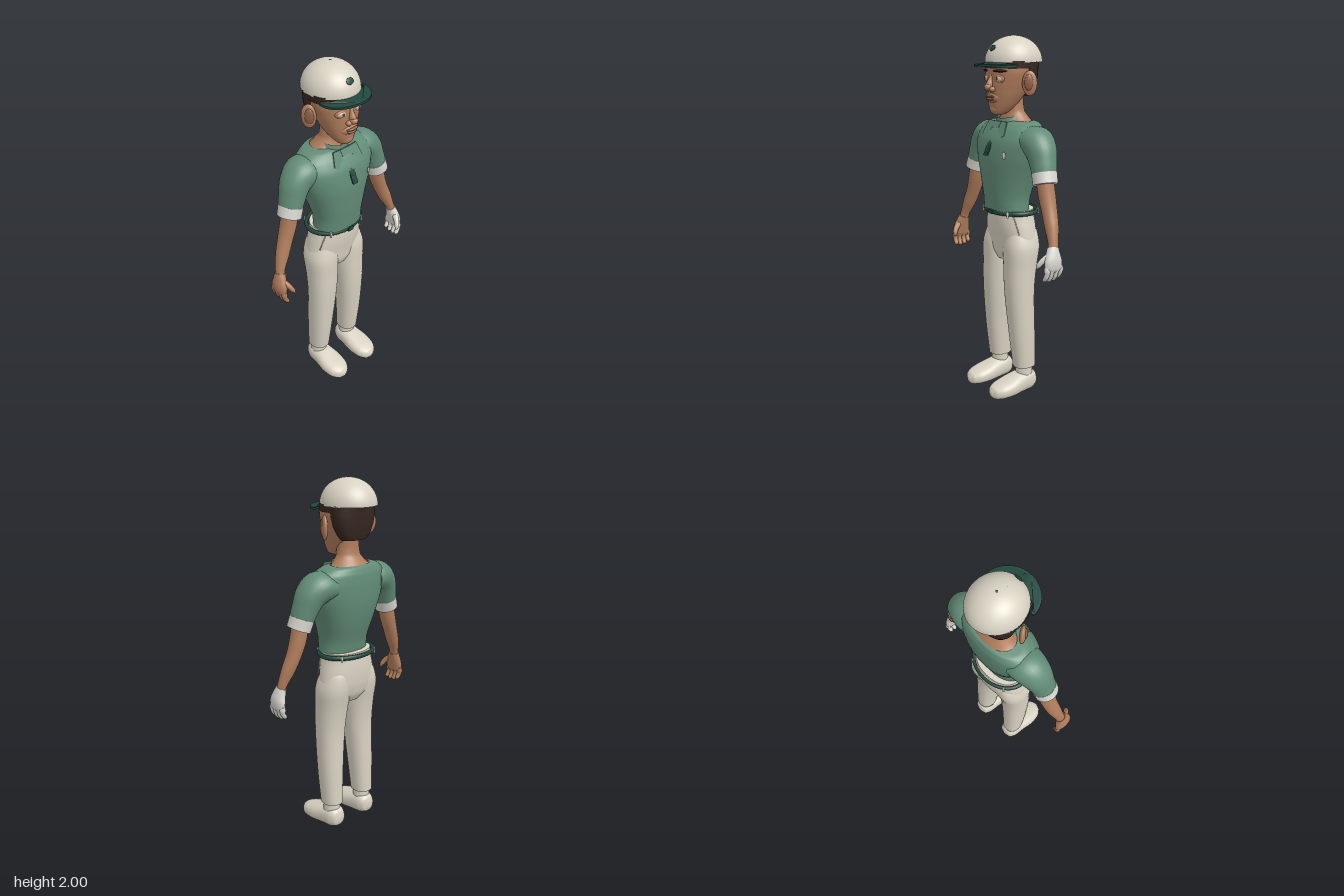
import * as THREE from 'three';

const V3 = (x, y, z) => new THREE.Vector3(x, y, z);
const X = V3(1, 0, 0), Y = V3(0, 1, 0), Z = V3(0, 0, 1);

const mat = (name, color, side = THREE.FrontSide) => {
  const m = new THREE.MeshStandardMaterial({ color, side });
  m.name = name;
  return m;
};

// Smooth skin through elliptical sections [x, y, z, halfWidth, halfDepth].
// axis fixes the section direction; otherwise sections follow the path.
function loft(pts, { axis = null, ref = Z, pow = 2, seg = 28, steps = 5, caps = true } = {}) {
  const path = new THREE.CatmullRomCurve3(pts.map(p => V3(p[0], p[1], p[2])));
  const size = new THREE.CatmullRomCurve3(pts.map(p => V3(p[3], p[4], 0)));
  const rows = (pts.length - 1) * steps, pos = [], idx = [];
  const sq = v => Math.sign(v) * Math.abs(v) ** (2 / pow);
  const ring = i => {
    const t = i / rows, c = path.getPoint(t), s = size.getPoint(t);
    const T = axis || path.getTangent(t);
    const U = T.clone().cross(ref).normalize(), W = T.clone().cross(U).normalize();
    for (let j = 0; j < seg; j++) {
      const a = j / seg * Math.PI * 2;
      const p = c.clone().addScaledVector(U, s.x * sq(Math.cos(a))).addScaledVector(W, s.y * sq(Math.sin(a)));
      pos.push(p.x, p.y, p.z);
    }
    return c;
  };
  for (let i = 0; i <= rows; i++) ring(i);
  for (let i = 0; i < rows; i++) for (let j = 0; j < seg; j++) {
    const k = (j + 1) % seg, a = i * seg, b = a + seg;
    idx.push(a + j, a + k, b + j, a + k, b + k, b + j);
  }
  if (caps) for (const i of [0, rows]) {
    const base = pos.length / 3, c = ring(i);
    pos.push(c.x, c.y, c.z);
    for (let j = 0; j < seg; j++) {
      const k = (j + 1) % seg;
      idx.push(base + seg, ...(i ? [base + j, base + k] : [base + k, base + j]));
    }
  }
  const g = new THREE.BufferGeometry();
  g.setAttribute('position', new THREE.Float32BufferAttribute(pos, 3));
  g.setIndex(idx);
  g.computeVertexNormals();
  return g;
}

const ball = (x, y, z, a, b, c, ry = 0, rx = 0) =>
  new THREE.SphereGeometry(1, 24, 16).scale(a, b, c).rotateX(rx).rotateY(ry).translate(x, y, z);

// Thin plate cut from an outline, then moved by a rule
function plate(points, depth, rule) {
  const g = new THREE.ExtrudeGeometry(new THREE.Shape(points.map(p => new THREE.Vector2(...p))),
    { depth, bevelEnabled: false });
  const p = g.attributes.position;
  for (let i = 0; i < p.count; i++) p.setXYZ(i, ...rule(p.getX(i), p.getY(i), p.getZ(i)));
  g.computeVertexNormals();
  return g;
}

export function createModel() {
  const skin = mat('skin', 0xb07d5c), lip = mat('lips', 0x92614a), hairM = mat('hair', 0x35261f);
  const green = mat('shirt green', 0x628c77, THREE.DoubleSide), dark = mat('dark green', 0x21483d, THREE.DoubleSide);
  const cream = mat('cream cloth', 0xd8d2c2), white = mat('glove and cuff white', 0xd9d6d0);
  const eyeM = mat('eye', 0xcbb5a0), iris = mat('iris', 0x4a3a30);
  const model = new THREE.Group();
  model.name = 'golfer';
  const add = (name, geo, m, parent = model) => {
    const o = new THREE.Mesh(geo, m);
    o.name = name;
    parent.add(o);
    return o;
  };

  // Shirt
  add('shirtBody', loft([
    [0, 1.045, .008, .148, .1], [0, 1.13, .006, .146, .113], [0, 1.25, -.006, .178, .135],
    [0, 1.36, -.014, .218, .145], [0, 1.45, -.022, .24, .138], [0, 1.51, -.036, .222, .119],
    [0, 1.545, -.047, .17, .095], [0, 1.552, -.05, .118, .078]],
    { axis: Y, pow: 2.25, seg: 40, caps: false }), green);
  const collar = add('collarBand', new THREE.CylinderGeometry(.074, .084, .026, 32, 1, true), green);
  collar.position.set(0, 1.568, -.022);
  collar.rotation.x = .2;
  const lean = (x, y, z) => [x, y, z + .062 + (1.545 - y) * .46];
  for (const s of [1, -1]) add('collarFlap',
    plate([[.012 * s, 1.548], [.082 * s, 1.552], [.1 * s, 1.48], [.052 * s, 1.455], [.03 * s, 1.52]], .006, lean), green);
  add('collarKnot', plate([[-.035, 1.55], [.035, 1.55], [.03, 1.515], [-.03, 1.515]], .008, lean), green);
  add('placket', plate([[-.017, 1.47], [.017, 1.47], [.017, 1.37], [-.017, 1.37]], .008, lean), dark);
  for (const y of [1.445, 1.415, 1.385]) add('shirtButton', ball(0, y, lean(0, y, .009)[2], .005, .005, .003), green);
  add('chestPatch', ball(.127, 1.38, .116, .011, .02, .005, .4), white);

  // Belt with buckle and loops
  const beltGeo = new THREE.TorusGeometry(1, .07, 10, 56).rotateX(Math.PI / 2).scale(.168, .19, .128);
  add('belt', beltGeo.translate(0, 1.055, -.022), dark);
  add('buckle', new THREE.BoxGeometry(.035, .024, .008).translate(0, 1.055, .115), dark);
  for (const a of [-.7, .7, 2.4, 3.9]) add('beltLoop', new THREE.BoxGeometry(.01, .036, .008).rotateY(a)
    .translate(Math.sin(a) * .18, 1.052, -.022 + Math.cos(a) * .137), cream);

  // Trousers
  add('trouserHips', loft([
    [0, .775, -.02, .07, .07], [0, .82, -.025, .145, .092], [0, .88, -.028, .18, .103],
    [0, .96, -.024, .168, .112], [0, 1.03, -.02, .152, .112], [0, 1.068, -.02, .15, .11]],
    { axis: Y, pow: 2.2, seg: 36 }), cream);

  for (const s of [1, -1]) {
    const side = new THREE.Group();
    side.name = s > 0 ? 'leftLimbs' : 'rightLimbs';
    model.add(side);
    const put = (name, geo, m) => add(name, geo, m, side);
    const limb = (pts, opt) => loft(pts.map(([x, ...r]) => [x * s, ...r]), opt);

    put('trouserLeg', limb([
      [.12, .148, -.03, .057, .064], [.117, .35, -.016, .068, .074], [.107, .6, -.005, .081, .082],
      [.102, .74, -.012, .088, .09], [.1, .85, -.022, .092, .1], [.09, .94, -.03, .075, .09], [.08, .99, -.03, .05, .07]],
      { axis: Y, pow: 2.3 }), cream);
    put('pocketSeam', new THREE.TubeGeometry(new THREE.LineCurve3(V3(.125 * s, 1.04, .05), V3(.158 * s, .94, .035)), 6, .003, 6), cream);

    // Ankle and shoe, flattened on the ground
    put('sock', new THREE.CylinderGeometry(.047, .05, .07, 24).translate(.12 * s, .13, -.03), cream);
    const shoe = limb([
      [.118, .055, -.102, .012, .015], [.118, .058, -.092, .042, .045], [.118, .06, -.055, .06, .062],
      [.118, .054, .01, .066, .06], [.119, .043, .08, .075, .052], [.119, .034, .145, .068, .043],
      [.118, .028, .185, .042, .032], [.117, .025, .2, .01, .012]],
      { axis: Z, ref: Y, pow: 2.4 });
    const p = shoe.attributes.position;
    for (let i = 0; i < p.count; i++) p.setY(i, Math.max(0, p.getY(i)));
    shoe.computeVertexNormals();
    put('shoe', shoe, cream);

    // Sleeve, cuff and arm
    put('sleeve', limb([
      [.15, 1.45, -.04, .07, .1], [.21, 1.45, -.036, .086, .1], [.258, 1.415, -.03, .081, .088],
      [.29, 1.35, -.022, .071, .075], [.318, 1.27, -.013, .06, .066]]), green);
    put('cuff', limb([[.308, 1.3, -.016, .065, .07], [.318, 1.27, -.013, .064, .069], [.327, 1.243, -.01, .064, .068]], { steps: 2 }), white);
    put('arm', limb([
      [.315, 1.28, -.012, .045, .048], [.335, 1.19, -.013, .044, .048], [.362, 1.11, -.01, .04, .043],
      [.395, 1.03, 0, .037, .038], [.427, .95, .014, .025, .028], [.437, .905, .022, .022, .027]]), skin);

    // Hand: the left one wears a glove
    const hm = s > 0 ? white : skin;
    const hand = s > 0 ? 'glove' : 'hand';
    put(hand + 'Palm', limb([
      [.431, .932, .018, .027, .031], [.44, .9, .024, .029, .042], [.449, .86, .029, .029, .054],
      [.45, .825, .028, .024, .054], [.448, .808, .028, .015, .046]]), hm);
    [-.014, .014, .043, .07].forEach((z, i) => {
      const len = [.9, 1.05, 1.08, 1][i];
      put(hand + 'Finger', limb([
        [.45, .835, z, .014, .015], [.452, .805, z, .014, .015], [.445, .83 - .048 * len, z + .002, .013, .014],
        [.432, .83 - .065 * len, z + .003, .011, .012], [.426, .83 - .07 * len, z + .003, .004, .004]], { seg: 12, steps: 3 }), hm);
    });
    put(hand + 'Thumb', limb([
      [.438, .895, .045, .016, .018], [.425, .87, .078, .015, .017], [.411, .842, .096, .013, .014], [.402, .824, .1, .004, .005]],
      { seg: 12, steps: 3 }), hm);

    // Ear, eye and brow
    put('ear', ball(.158 * s, 1.755, -.03, .017, .066, .04, -.6 * s), skin);
    put('innerEar', ball(.165 * s, 1.76, -.018, .011, .042, .024, -.6 * s), lip);
    put('eyelid', ball(.056 * s, 1.778, .09, .034, .025, .016, .3 * s), skin);
    put('eyeball', ball(.056 * s, 1.776, .097, .025, .015, .013, .3 * s), eyeM);
    put('iris', ball(.054 * s, 1.777, .109, .008, .009, .003, .2 * s), iris);
    put('eyebrow', ball(.066 * s, 1.818, .097, .042, .007, .012, .5 * s), hairM);
    put('nostril', ball(.022 * s, 1.722, .115, .017, .015, .018), skin);
  }

  // Neck and head
  add('neck', loft([
    [0, 1.535, -.05, .13, .088], [0, 1.56, -.047, .1, .075], [0, 1.6, -.038, .07, .058],
    [0, 1.65, -.035, .064, .055], [0, 1.72, -.035, .068, .058]], { axis: Y }), skin);
  add('head', loft([
    [0, 1.583, .062, .015, .018], [0, 1.595, .056, .042, .044], [0, 1.635, .034, .073, .074],
    [0, 1.69, .012, .1, .1], [0, 1.75, -.004, .122, .116], [0, 1.81, -.01, .136, .12], [0, 1.875, -.02, .136, .125]],
    { axis: Y, pow: 2.15, seg: 36 }), skin);
  add('noseBridge', loft([
    [0, 1.805, .096, .012, .012], [0, 1.775, .106, .013, .018], [0, 1.745, .117, .018, .024], [0, 1.72, .12, .016, .018]], { axis: X.clone().cross(Z) }), skin);
  add('noseTip', ball(0, 1.733, .127, .021, .018, .023), skin);
  add('muzzle', ball(0, 1.678, .085, .058, .036, .036), skin);
  add('upperLip', ball(0, 1.683, .117, .037, .007, .015), lip);
  add('lowerLip', ball(0, 1.669, .115, .032, .008, .016), lip);
  add('chin', ball(0, 1.615, .083, .036, .026, .026), skin);
  add('backHair', loft([
    [0, 1.685, -.082, .08, .045], [0, 1.71, -.08, .1, .054], [0, 1.76, -.076, .126, .065],
    [0, 1.81, -.073, .138, .07], [0, 1.868, -.07, .143, .072]], { axis: Y, pow: 2.4 }), hairM);
  add('hairBand', loft([[0, 1.83, -.015, .142, .127], [0, 1.87, -.02, .145, .13]], { axis: Y, seg: 36, steps: 2 }), hairM);

  // Cap
  add('capDome', new THREE.SphereGeometry(1, 40, 20, 0, Math.PI * 2, 0, Math.PI / 2).scale(.147, .138, .16).translate(0, 1.862, -.04), cream);
  add('capUnderside', new THREE.CircleGeometry(1, 40).rotateX(Math.PI / 2).scale(.147, 1, .16).translate(0, 1.862, -.04), cream);
  const brim = [];
  for (let i = 0; i <= 32; i++) {
    const a = i / 32 * Math.PI;
    brim.push([.152 * Math.cos(a), .045 + .137 * Math.sin(a)]);
  }
  for (let i = 0; i <= 32; i++) {
    const a = Math.PI * (1 - i / 32);
    brim.push([.136 * Math.cos(a), .04 + .062 * Math.sin(a)]);
  }
  add('capBrim', plate(brim, .012, (x, y, z) => [x, 1.874 - .13 * y - .9 * x * x - z + .004, y]), dark);
  add('capPatch', ball(0, 1.935, .097, .024, .018, .005, 0, -.55), dark);
  add('capButton', ball(0, 1.998, -.04, .007, .004, .007), dark);
  for (const s of [1, -1]) add('capSeam', new THREE.TubeGeometry(
    new THREE.LineCurve3(V3(0, 1.999, -.035), V3(.015 * s, 1.991, .01)), 4, .0015, 5), dark);

  return model;
}
